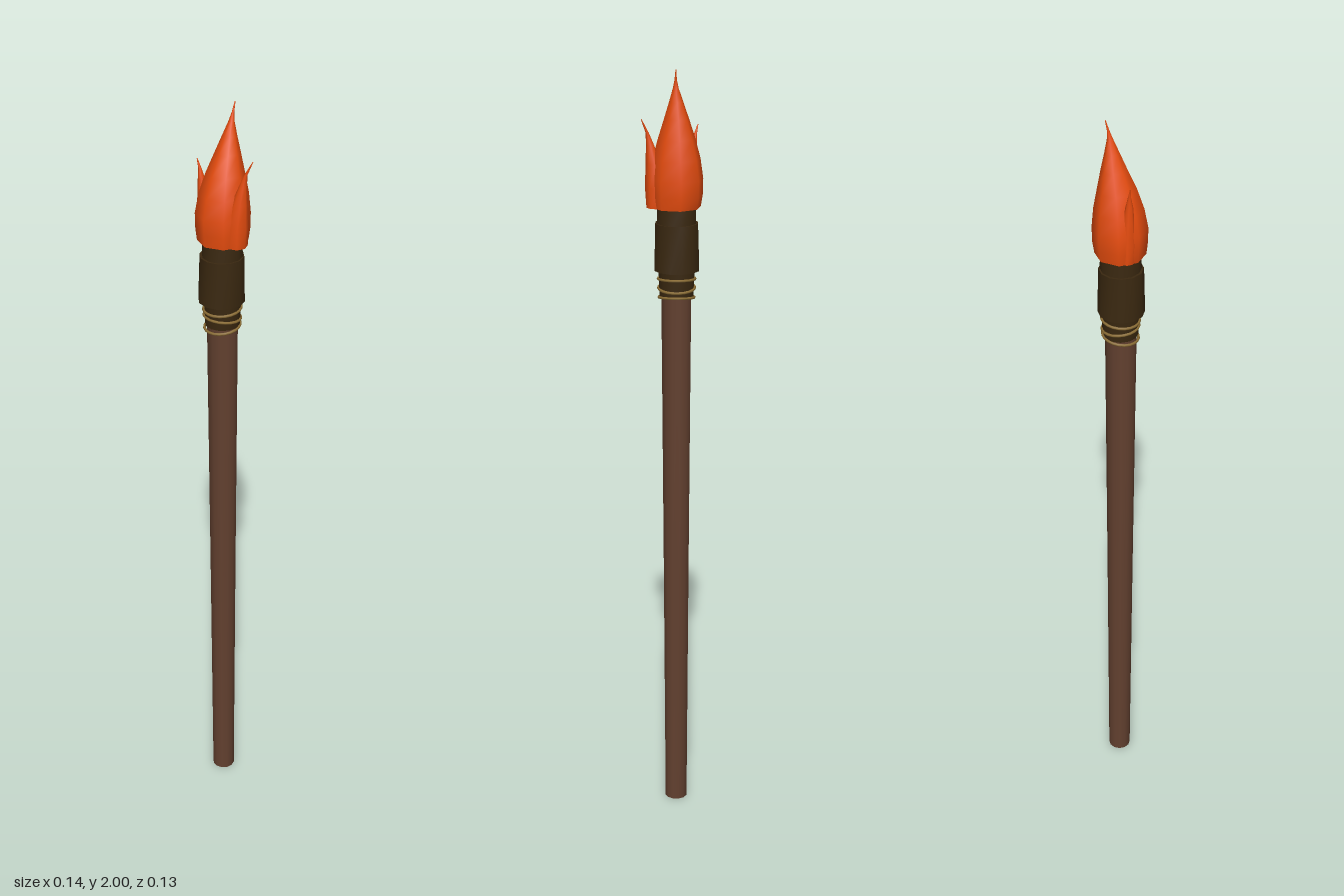
import * as THREE from 'three';

const mat = (name, color) => Object.assign(new THREE.MeshStandardMaterial({ color }), { name });

// Smooth closed loft through rings given as [y, x, z, radius]; caps are flat.
function loft(rings, sides, phase = 0) {
  const pos = [], idx = [];
  const addRing = ([y, x, z, r]) => {
    const start = pos.length / 3;
    for (let i = 0; i < sides; i++) {
      const a = phase + (i / sides) * Math.PI * 2;
      pos.push(x + r * Math.sin(a), y, z + r * Math.cos(a));
    }
    return start;
  };
  const starts = rings.map(addRing);
  for (let k = 0; k < rings.length - 1; k++) {
    for (let i = 0; i < sides; i++) {
      const j = (i + 1) % sides, a = starts[k], b = starts[k + 1];
      idx.push(a + i, a + j, b + j, a + i, b + j, b + i);
    }
  }
  // separate cap vertices keep the rims sharp
  const low = addRing(rings[0]), high = addRing(rings[rings.length - 1]);
  for (let i = 1; i < sides - 1; i++) {
    idx.push(low, low + i + 1, low + i, high, high + i, high + i + 1);
  }
  const g = new THREE.BufferGeometry();
  g.setAttribute('position', new THREE.Float32BufferAttribute(pos, 3));
  g.setIndex(idx);
  g.computeVertexNormals();
  return g;
}

export function createModel() {
  const torch = new THREE.Group();
  torch.name = 'torch';
  const wood = mat('wood', 0x62402f);
  const cloth = mat('charredCloth', 0x3a2810);
  const twine = mat('twine', 0x8a6c34);
  const fire = mat('fire', 0xe64c0e);
  const cx = -0.009;

  const add = (name, geometry, material) => {
    const m = new THREE.Mesh(geometry, material);
    m.name = name;
    torch.add(m);
    return m;
  };

  // Tapered wooden handle
  add('handle', loft([[0, -0.007, 0, 0.03], [0.7, -0.008, 0.001, 0.034], [1.46, cx, 0.002, 0.039]], 12), wood);

  // Cloth head: collar under the twine, flared wrap, narrower upper band
  add('collar', loft([[1.435, cx, 0.001, 0.044], [1.51, cx, 0.001, 0.047]], 12), cloth);
  add('wrap', loft([[1.5, -0.011, 0.002, 0.058], [1.62, -0.01, 0.002, 0.055]], 12), cloth);
  add('upperBand', loft([[1.6, cx, 0.002, 0.051], [1.67, cx, 0.001, 0.049]], 12), cloth);

  // Twine loops, each slightly tilted
  [[1.43, 0.045, 0.1], [1.455, 0.046, -0.08], [1.478, 0.047, 0.06]].forEach(([y, r, tilt], i) => {
    const ring = add('twineLoop' + (i + 1), new THREE.TorusGeometry(r, 0.0035, 6, 20), twine);
    ring.position.set(cx, y, 0.001);
    ring.rotation.set(Math.PI / 2 + tilt, tilt, 0);
  });

  // Main flame, bending to a thin tip
  add('flame', loft([
    [1.66, -0.008, 0.001, 0.062], [1.69, -0.008, 0, 0.066], [1.73, -0.008, 0, 0.067],
    [1.78, -0.006, -0.002, 0.06], [1.83, -0.003, -0.005, 0.047], [1.88, 0.002, -0.01, 0.031],
    [1.92, 0.006, -0.013, 0.018], [1.955, 0.01, -0.016, 0.007], [1.975, 0.013, -0.019, 0.003],
    [2, 0.017, -0.024, 0.001],
  ], 8, 0.2), fire);

  // Small side tongues
  add('leftTongue', loft([
    [1.66, 0.03, 0.03, 0.027], [1.71, 0.031, 0.031, 0.029], [1.77, 0.038, 0.034, 0.02],
    [1.815, 0.046, 0.038, 0.01], [1.845, 0.053, 0.04, 0.004], [1.88, 0.07, 0.043, 0.001],
  ], 8, 0.2), fire);
  add('rightTongue', loft([
    [1.66, -0.052, -0.006, 0.018], [1.71, -0.054, -0.006, 0.02], [1.77, -0.056, -0.006, 0.014],
    [1.81, -0.06, -0.006, 0.009], [1.835, -0.064, -0.008, 0.004], [1.86, -0.071, -0.01, 0.001],
  ], 8, 0.2), fire);

  return torch;
}
